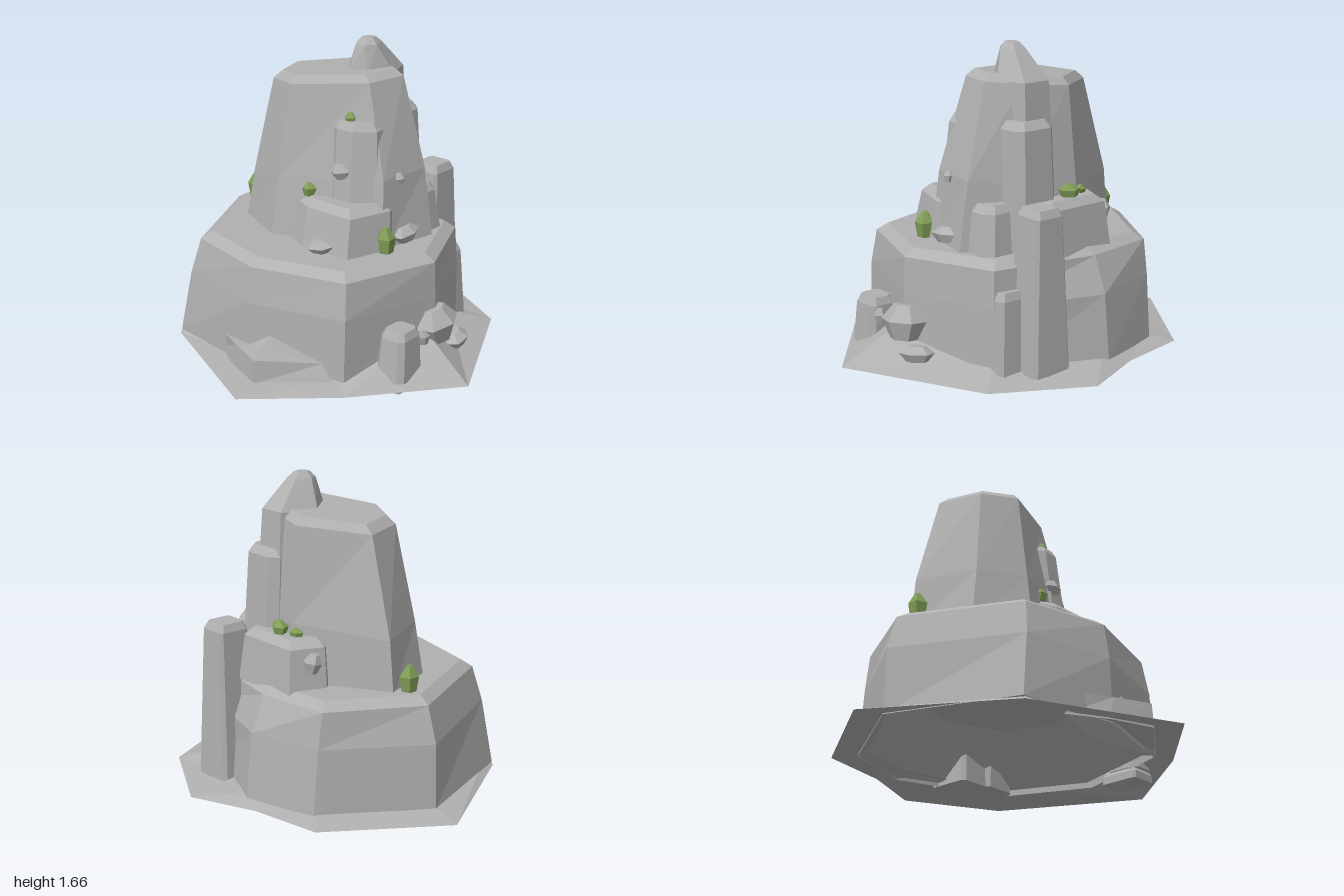
import * as THREE from 'three';

const rock = new THREE.MeshStandardMaterial({ color: 0xb0b0b0, side: THREE.DoubleSide });
rock.name = 'grey rock';
const leaf = new THREE.MeshStandardMaterial({ color: 0x809e56, side: THREE.DoubleSide });
leaf.name = 'moss green';

// Ring of [x, y, z] corners from an [x, z] outline; tilt raises y along x
const ring = (outline, y, tilt = 0) => outline.map(([x, z]) => [x, y + tilt * x, z]);

// Shrinks an outline about its middle and shifts it
function inset(outline, s, dx = 0, dz = 0) {
  const cx = outline.reduce((a, p) => a + p[0], 0) / outline.length;
  const cz = outline.reduce((a, p) => a + p[1], 0) / outline.length;
  return outline.map(([x, z]) => [cx + (x - cx) * s + dx, cz + (z - cz) * s + dz]);
}

// Faceted solid through rings listed from bottom to top
function loft(rings, top = true, bottom = false) {
  const v = [];
  const n = rings[0].length;
  const cap = (r, flip) => {
    const c = [0, 1, 2].map(k => r.reduce((a, p) => a + p[k], 0) / n);
    for (let i = 0; i < n; i++) {
      const a = r[i], b = r[(i + 1) % n];
      v.push(...c, ...(flip ? b : a), ...(flip ? a : b));
    }
  };
  for (let k = 0; k < rings.length - 1; k++) {
    for (let i = 0; i < n; i++) {
      const j = (i + 1) % n;
      const [a, b, c, d] = [rings[k][i], rings[k][j], rings[k + 1][j], rings[k + 1][i]];
      v.push(...a, ...b, ...c, ...a, ...c, ...d);
    }
  }
  if (top) cap(rings[rings.length - 1], false);
  if (bottom) cap(rings[0], true);
  const g = new THREE.BufferGeometry();
  g.setAttribute('position', new THREE.Float32BufferAttribute(v, 3));
  g.computeVertexNormals();
  return g;
}

// Tapered block with a chamfered top edge
function block(outline, y0, y1, taper, dx = 0, dz = 0, chamfer = 0.04) {
  const upper = inset(outline, taper, dx, dz);
  return loft([ring(outline, y0), ring(upper, y1 - chamfer), ring(inset(upper, 0.78), y1)], true, true);
}

// Small cut stone of unit size: radii at the bottom, waist and top
function pebble(sides, low, waist, high) {
  const round = [];
  for (let i = 0; i < sides; i++) {
    const a = -Math.PI * 2 * i / sides;
    round.push([Math.cos(a), Math.sin(a)]);
  }
  round.reverse();
  const unit = round.map(([x, z]) => [x, -z]).reverse();
  return loft([ring(inset(unit, low), -1), ring(unit, waist), ring(inset(unit, high, -0.1), 1)], true, true);
}

export function createModel() {
  const model = new THREE.Group();
  const add = (name, geometry, material = rock) => {
    const mesh = new THREE.Mesh(geometry, material);
    mesh.name = name;
    model.add(mesh);
    return mesh;
  };

  // Ground skirt, open underneath
  const skirt = [[-1, -0.13], [-0.57, 0.57], [0.19, 0.93], [0.59, 0.57], [1, 0.06],
    [0.63, -0.68], [0.14, -0.94], [-0.22, -0.79], [-0.61, -0.72]];
  const skirtInner = [[-0.8, 0.06, -0.11], [-0.53, 0.06, 0.54], [0.1, 0.07, 0.61], [0.5, 0.07, 0.47],
    [0.68, 0.22, 0], [0.46, 0.1, -0.5], [0.1, 0.08, -0.62], [-0.13, 0.08, -0.68], [-0.48, 0.07, -0.59]];
  add('groundSkirt', loft([ring(skirt, 0.03), skirtInner], false));

  // Broad lower plinth
  const plinthBase = [[-0.83, -0.11], [-0.57, 0.56], [0, 0.64], [0.53, 0.49],
    [0.7, -0.06], [0.49, -0.54], [-0.1, -0.76], [-0.5, -0.64]];
  const plinthMid = [[-0.82, -0.11], [-0.51, 0.53], [0, 0.63], [0.53, 0.48],
    [0.69, -0.06], [0.48, -0.54], [-0.1, -0.72], [-0.5, -0.61]];
  const plinthEdge = [[-0.76, -0.11], [-0.47, 0.49], [0, 0.6], [0.51, 0.45],
    [0.68, -0.06], [0.47, -0.53], [-0.1, -0.64], [-0.5, -0.58]];
  add('plinth', loft([ring(plinthBase, 0.05), ring(plinthMid, 0.4), ring(plinthEdge, 0.59),
    ring(inset(plinthEdge, 0.91), 0.63)]));

  // Hollow under the plinth
  add('underside', loft([ring(inset(plinthBase, 0.95), 0.07), ring(inset(plinthBase, 0.55), 0.32)]));

  // Main tower with a sloping top
  const towerBase = [[-0.59, -0.19], [-0.47, 0.13], [-0.16, 0.27], [0.43, 0.06],
    [0.5, -0.28], [0.22, -0.42], [-0.12, -0.47]];
  const towerMid = [[-0.56, -0.19], [-0.42, 0.11], [-0.15, 0.22], [0.4, 0.02],
    [0.44, -0.28], [0.2, -0.41], [-0.12, -0.46]];
  const towerTop = [[-0.41, -0.18], [-0.33, 0.05], [-0.13, 0.14], [0.26, -0.03],
    [0.31, -0.25], [0.16, -0.36], [-0.1, -0.42]];
  add('tower', loft([ring(towerBase, 0.6), ring(towerMid, 0.95, 0.1),
    ring(towerTop, 1.45, 0.1), ring(inset(towerTop, 0.86), 1.49, 0.1)]));

  // Summit spire running down the back of the tower
  const spire = [[-0.05, -0.22], [0.06, -0.08], [0.17, -0.12], [0.25, -0.26], [0.19, -0.43], [0.02, -0.43]];
  const spireTop = [[0.04, -0.2], [0.07, -0.15], [0.13, -0.15], [0.17, -0.2], [0.14, -0.28], [0.07, -0.28]];
  add('summitSpire', loft([ring(spire, 1.22), ring(inset(spire, 0.9), 1.48), ring(spireTop, 1.63),
    ring(inset(spireTop, 0.55), 1.66)]));

  // Ledges and columns: name, outline, bottom, top, taper, shift x, shift z
  const box = (x0, x1, z0, z1, c = 0.05) => [[x0, z0 + c], [x0, z1 - c], [x0 + c, z1], [x1 - c, z1],
    [x1, z1 - c], [x1, z0 + c], [x1 - c, z0], [x0 + c, z0]];
  const ledges = [
    ['frontLedge', [[-0.08, 0.22], [0.07, 0.29], [0.38, 0.29], [0.46, 0.04], [0.4, -0.12], [0, -0.1]], 0.6, 0.87, 0.93, -0.01, -0.04],
    ['frontColumn', [[0.1, 0.1], [0.16, 0.14], [0.27, 0.13], [0.38, 0.04], [0.37, -0.15], [0.1, -0.15]], 0.82, 1.28, 0.88, -0.02, -0.03],
    ['backLedge', [[-0.32, -0.4], [-0.15, -0.2], [0.15, -0.2], [0.24, -0.5], [0.16, -0.6], [-0.25, -0.59]], 0.6, 0.88, 0.9, 0, 0.01],
    ['backColumn', box(0.01, 0.3, -0.51, -0.2), 0.6, 1.29, 0.88, -0.01, 0.02],
    ['backRightLedge', box(0.2, 0.46, -0.46, -0.2), 0.6, 0.88, 0.92, -0.02, 0.02],
    ['tallBackPillar', box(0.13, 0.37, -0.73, -0.48, 0.02), 0.05, 0.9, 0.7, 0, -0.01],
    ['shortBackPillar', box(0.3, 0.5, -0.62, -0.46, 0.02), 0.05, 0.48, 0.85, -0.01, 0.01],
    ['sideBoulder', box(0.59, 0.77, 0.13, 0.33, 0.03), 0.06, 0.32, 0.85, 0, -0.01],
    ['sideBoulderFoot', box(0.59, 0.75, 0.1, 0.32, 0.01), 0, 0.08, 1, 0, 0],
  ];
  for (const [name, outline, y0, y1, taper, dx, dz] of ledges) {
    add(name, block(outline, y0, y1, taper, dx, dz));
  }

  // Sloping slab leaning on the front
  const slab = [[-0.28, 0.56], [-0.08, 0.68], [0.16, 0.77], [0.5, 0.53], [0.12, 0.45]];
  add('frontSlab', loft([ring(slab, 0.04),
    [[-0.19, 0.16, 0.61], [-0.04, 0.165, 0.68], [0.16, 0.17, 0.76], [0.42, 0.15, 0.53], [0.13, 0.24, 0.6]]]));

  // Loose faceted stones: name, position, size, turn
  const stones = [
    ['sideStone', [0.7, 0.25, -0.07], [0.1, 0.09, 0.14], 0.1],
    ['lowSideStone', [0.72, 0.12, -0.21], [0.07, 0.04, 0.1], 0.4],
    ['boulderChip', [0.73, 0.24, 0.1], [0.04, 0.04, 0.03], 0.5],
    ['frontLedgeChip', [0.2, 0.66, 0.29], [0.08, 0.03, 0.06], 0.2],
    ['columnChip', [0.19, 1.02, 0.1], [0.07, 0.04, 0.05], 0.4],
    ['rightChip', [0.42, 0.98, -0.09], [0.03, 0.03, 0.03], 0],
    ['rightLedgeChip', [0.45, 0.68, -0.11], [0.06, 0.04, 0.1], 0.1],
    ['backLedgeChip', [-0.29, 0.77, -0.47], [0.05, 0.05, 0.05], 0.6],
  ];
  for (const [name, at, size, turn] of stones) {
    const m = add(name, pebble(6, 0.6, 0.1, 0.5));
    m.position.set(...at);
    m.scale.set(...size);
    m.rotation.set(0.1, turn, 0.1);
  }

  // Tufts of greenery
  const tufts = [
    ['leftShrub', [-0.615, 0.695, -0.11], [0.052, 0.07, 0.052]],
    ['rightShrub', [0.46, 0.695, 0.07], [0.052, 0.07, 0.052]],
    ['ledgeTuft', [0.02, 0.9, 0.16], [0.045, 0.035, 0.038]],
    ['columnTuft', [0.18, 1.29, 0.02], [0.05, 0.032, 0.038]],
    ['backTuft', [-0.05, 0.91, -0.49], [0.06, 0.035, 0.045]],
    ['smallBackTuft', [-0.15, 0.895, -0.46], [0.04, 0.025, 0.03]],
  ];
  tufts.forEach(([name, at, size], i) => {
    const m = add(name, pebble(5, 0.75, 0.2, 0.3), leaf);
    m.position.set(...at);
    m.scale.set(...size);
    m.rotation.y = i * 0.7;
  });

  return model;
}
